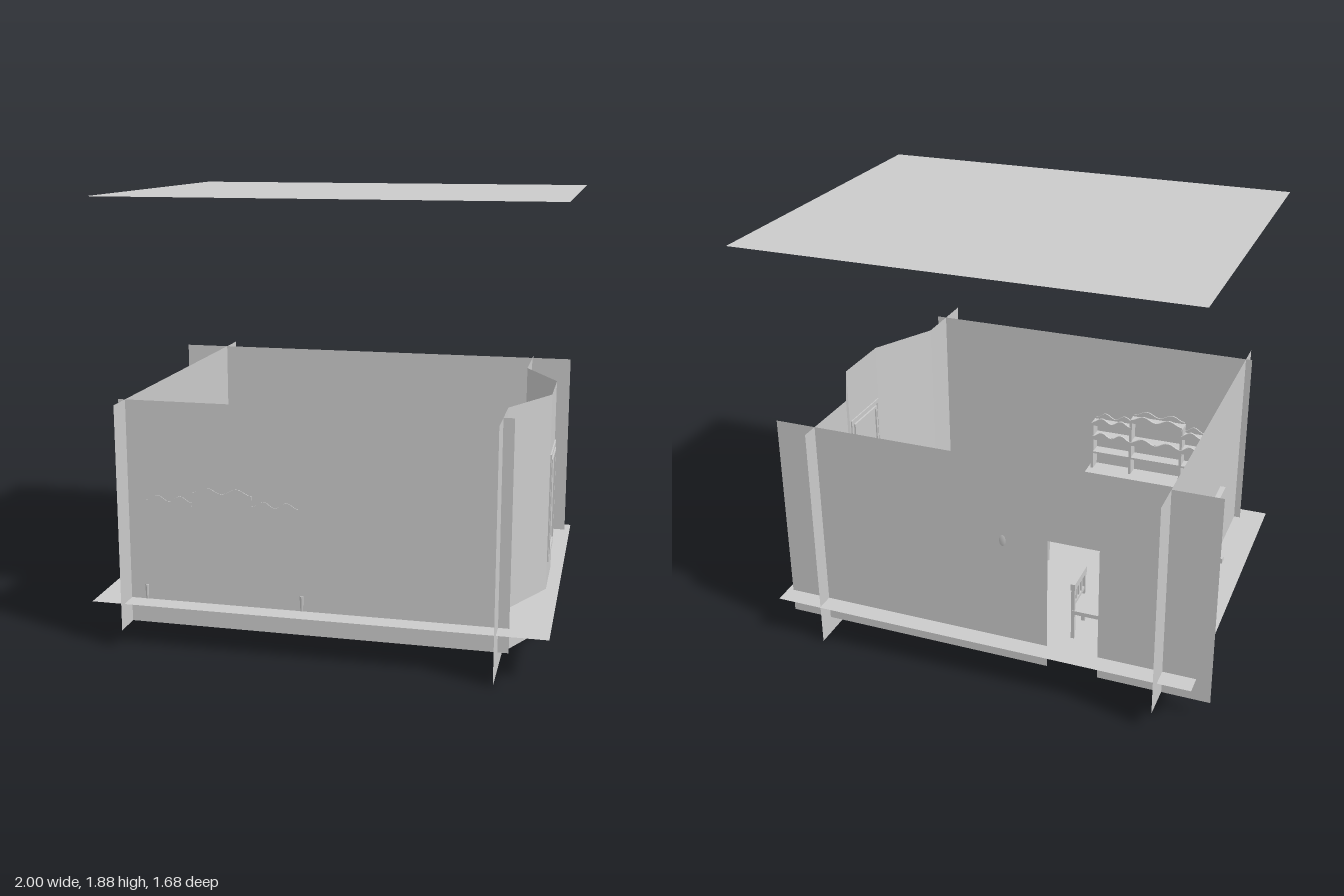
import * as THREE from 'three';

const MAT = new THREE.MeshStandardMaterial({ color: 0xcccccc, side: THREE.DoubleSide, flatShading: true });
const SMOOTH = new THREE.MeshStandardMaterial({ color: 0xcccccc, side: THREE.DoubleSide });
const FLOOR = 0.185, BASE = 0.08, TOP = 1.05;

function mesh(parent, name, geo, x = 0, y = 0, z = 0, mat = MAT) {
  const m = new THREE.Mesh(geo, mat);
  m.name = name;
  m.position.set(x, y, z);
  parent.add(m);
  return m;
}

// box given by its min and max corners
function box(parent, name, x0, x1, y0, y1, z0, z1) {
  return mesh(parent, name, new THREE.BoxGeometry(x1 - x0, y1 - y0, z1 - z0),
    (x0 + x1) / 2, (y0 + y1) / 2, (z0 + z1) / 2);
}

function group(parent, name, x = 0, y = 0, z = 0, turn = 0) {
  const g = new THREE.Group();
  g.name = name;
  g.position.set(x, y, z);
  g.rotation.y = turn;
  parent.add(g);
  return g;
}

const polygon = pts => new THREE.Shape(pts.map(p => new THREE.Vector2(...p)));

function slab(parent, name, x0, x1, z0, z1, y) {
  const geo = new THREE.PlaneGeometry(x1 - x0, z1 - z0).rotateX(-Math.PI / 2);
  mesh(parent, name, geo, (x0 + x1) / 2, y, (z0 + z1) / 2);
}

// folded sheet following a plan of [x, z] points
function foldedWall(parent, name, plan, y0, y1) {
  const pos = [];
  for (let i = 0; i + 1 < plan.length; i++) {
    const [[ax, az], [bx, bz]] = [plan[i], plan[i + 1]];
    pos.push(ax, y0, az, bx, y0, bz, bx, y1, bz, ax, y0, az, bx, y1, bz, ax, y1, az);
  }
  const geo = new THREE.BufferGeometry();
  geo.setAttribute('position', new THREE.Float32BufferAttribute(pos, 3));
  geo.computeVertexNormals();
  mesh(parent, name, geo);
}

function buildShell(root) {
  slab(root, 'floor', -0.935, 0.985, -0.755, 0.775, FLOOR);
  slab(root, 'ceiling', -0.93, 1, -0.84, 0.69, 1.88);
  foldedWall(root, 'frontWall', [[-0.82, 0.69], [0.82, 0.69]], BASE, TOP);
  foldedWall(root, 'leftSideWall', [[-0.79, 0.81], [-0.79, -0.82]], BASE, TOP);
  foldedWall(root, 'bayWall', [[0.775, 0.84], [0.775, 0.5], [0.93, 0.2], [0.93, -0.1],
    [0.775, -0.39], [0.775, -0.75]], 0, TOP);
  // back wall with a doorway open to its lower edge
  const shape = polygon([[-1, BASE], [-0.506, BASE], [-0.506, 0.71], [-0.28, 0.71],
    [-0.28, BASE], [0.96, BASE], [0.96, TOP], [-1, TOP]]);
  mesh(root, 'backWall', new THREE.ShapeGeometry(shape), 0, 0, -0.67);
}

function buildWindow(root) {
  const g = group(root, 'window', 0.93, 0.545, 0.05);
  // two nested frames
  for (const [w, h, d, t] of [[0.28, 0.48, 0.012, 0.018], [0.225, 0.425, 0.018, 0.012]]) {
    for (const s of [-1, 1]) {
      const y = s * (h - t) / 2, z = s * (w - t) / 2;
      box(g, 'windowRail', -d / 2, d / 2, y - t / 2, y + t / 2, -w / 2, w / 2);
      box(g, 'windowStile', -d / 2, d / 2, -h / 2 + t, h / 2 - t, z - t / 2, z + t / 2);
    }
  }
  box(g, 'windowPane', -0.002, 0.002, -0.2, 0.2, -0.1, 0.1);
}

function buildFireplace(root) {
  const g = group(root, 'fireplace');
  // surround with an arched opening, extruded along x
  const s = polygon([[-0.25, FLOOR], [-0.15, FLOOR], [-0.15, 0.33]]);
  s.absarc(0, 0.33, 0.15, Math.PI, 0, true);
  s.lineTo(0.15, FLOOR);
  s.lineTo(0.25, FLOOR);
  s.lineTo(0.25, 0.54);
  s.lineTo(-0.25, 0.54);
  const geo = new THREE.ExtrudeGeometry(s, { depth: 0.1, bevelEnabled: false, curveSegments: 12 });
  mesh(g, 'surround', geo.rotateY(-Math.PI / 2), -0.698, 0, 0);
  for (const k of [-1, 1]) {
    box(g, 'pillarBase', -0.8, -0.68, 0.17, 0.23, k * 0.2 - 0.065, k * 0.2 + 0.065);
    box(g, 'pillar', -0.7, -0.688, 0.23, 0.52, k * 0.2 - 0.04, k * 0.2 + 0.04);
    box(g, 'hearthEnd', -0.833, -0.79, 0.165, 0.21, k * 0.25 - 0.015, k * 0.25 + 0.015);
  }
  box(g, 'mantelMoulding', -0.803, -0.68, 0.53, 0.55, -0.265, 0.265);
  box(g, 'mantelShelf', -0.815, -0.66, 0.55, 0.57, -0.285, 0.285);
  // ornament on the mantel
  const profile = [[0, 0], [0.028, 0], [0.028, 0.008], [0.009, 0.02], [0.008, 0.075], [0.02, 0.09],
    [0.03, 0.12], [0.027, 0.145], [0.014, 0.163], [0, 0.17]];
  mesh(g, 'mantelLamp', new THREE.LatheGeometry(profile.map(p => new THREE.Vector2(...p)), 14),
    -0.735, 0.57, -0.04, SMOOTH);
}

// board whose upper edge runs in waves
function wavyBoard(parent, x0, x1, y, z) {
  const pts = [[x1, y - 0.03], [x0, y - 0.03]];
  for (let i = 0; i <= 24; i++) {
    const t = i / 24;
    pts.push([x0 + (x1 - x0) * t, y + 0.012 * Math.cos(t * Math.PI * 4) * -1]);
  }
  const geo = new THREE.ExtrudeGeometry(polygon(pts), { depth: 0.01, bevelEnabled: false });
  mesh(parent, 'wavyCrown', geo, 0, 0, z);
}

function buildHutch(root) {
  const g = group(root, 'hutch');
  box(g, 'hutchBase', -0.72, -0.04, 0.24, 0.345, 0.58, 0.688);
  box(g, 'hutchTop', -0.73, -0.03, 0.345, 0.36, 0.57, 0.688);
  for (const x of [-0.72, -0.04]) {
    for (const z of [0.595, 0.685]) {
      mesh(g, 'hutchLeg', new THREE.CylinderGeometry(0.011, 0.007, 0.075, 8), x, 0.212, z);
    }
  }
  for (let i = 0; i < 3; i++) {
    const x = -0.6 + i * 0.22;
    box(g, 'drawer', x - 0.095, x + 0.095, 0.255, 0.33, 0.573, 0.58);
    mesh(g, 'drawerKnob', new THREE.SphereGeometry(0.008, 8, 6), x, 0.293, 0.568, SMOOTH);
  }
  // upper rack in three bays, the middle one taller
  const edges = [-0.71, -0.51, -0.25, -0.05], tops = [0.635, 0.68, 0.635];
  edges.forEach((x, i) => {
    const h = i === 1 || i === 2 ? 0.66 : 0.615;
    box(g, 'rackUpright', x - 0.006, x + 0.006, 0.36, h, 0.625, 0.688);
  });
  tops.forEach((top, i) => {
    const [a, b] = [edges[i], edges[i + 1]];
    for (const y of [0.45, 0.54, top - 0.025]) box(g, 'rackShelf', a, b, y - 0.005, y + 0.005, 0.625, 0.688);
    wavyBoard(g, a, b, top, 0.62);
    wavyBoard(g, a, b, top, 0.683);
    wavyBoard(g, a, b, 0.555, 0.62);
  });
}

// chair facing its own +x
function buildChair(root, x, z, turn) {
  const g = group(root, 'chair', x, FLOOR, z, turn);
  for (const s of [-1, 1]) {
    box(g, 'chairFrontLeg', 0.055, 0.07, -0.008, 0.13, s * 0.065 - 0.008, s * 0.065 + 0.008);
    box(g, 'chairBackPost', -0.075, -0.06, -0.008, 0.265, s * 0.07 - 0.008, s * 0.07 + 0.008);
  }
  box(g, 'chairSeat', -0.075, 0.08, 0.125, 0.143, -0.08, 0.08);
  box(g, 'chairTopRail', -0.077, -0.058, 0.245, 0.275, -0.08, 0.08);
  box(g, 'chairLowRail', -0.073, -0.062, 0.165, 0.18, -0.07, 0.07);
  for (const k of [-1, 0, 1]) box(g, 'chairSlat', -0.071, -0.064, 0.18, 0.245, k * 0.032 - 0.007, k * 0.032 + 0.007);
}

function buildTable(root) {
  const g = group(root, 'table', 0.33, FLOOR, -0.13, 0.6);
  mesh(g, 'tableTop', new THREE.CylinderGeometry(0.19, 0.19, 0.016, 28), 0, 0.2, 0);
  mesh(g, 'tableApron', new THREE.CylinderGeometry(0.14, 0.14, 0.025, 20, 1, true), 0, 0.18, 0);
  for (const sx of [-1, 1]) for (const sz of [-1, 1]) {
    mesh(g, 'tableLeg', new THREE.CylinderGeometry(0.011, 0.008, 0.2, 8), sx * 0.09, 0.092, sz * 0.09);
  }
}

function buildSconce(root) {
  const g = group(root, 'wallSconce', -0.08, 0.67, -0.67);
  mesh(g, 'sconcePlate', new THREE.SphereGeometry(0.022, 12, 8).scale(1, 1.7, 0.4), 0, 0, 0.006, SMOOTH);
  for (const k of [-1, 0, 1]) {
    const x = k * 0.075, z = k ? 0.045 : 0.075;
    const arm = new THREE.CatmullRomCurve3([[0, -0.01, 0.01], [x * 0.4, -0.04, z * 0.6],
      [x * 0.9, -0.035, z], [x, 0, z]].map(p => new THREE.Vector3(...p)));
    mesh(g, 'sconceArm', new THREE.TubeGeometry(arm, 12, 0.005, 6), 0, 0, 0, SMOOTH);
    mesh(g, 'sconceCup', new THREE.CylinderGeometry(0.016, 0.008, 0.012, 10), x, 0.004, z);
    mesh(g, 'sconceCandle', new THREE.CylinderGeometry(0.006, 0.006, 0.045, 8), x, 0.032, z);
  }
}

export function createModel() {
  const root = new THREE.Group();
  root.name = 'diningRoom';
  buildShell(root);
  buildWindow(root);
  buildFireplace(root);
  buildHutch(root);
  buildTable(root);
  buildChair(root, 0.05, 0.0, 0.6);
  buildChair(root, 0.57, -0.38, 0.7 + Math.PI);
  buildChair(root, -0.43, -0.5, Math.PI);
  buildSconce(root);
  return root;
}
